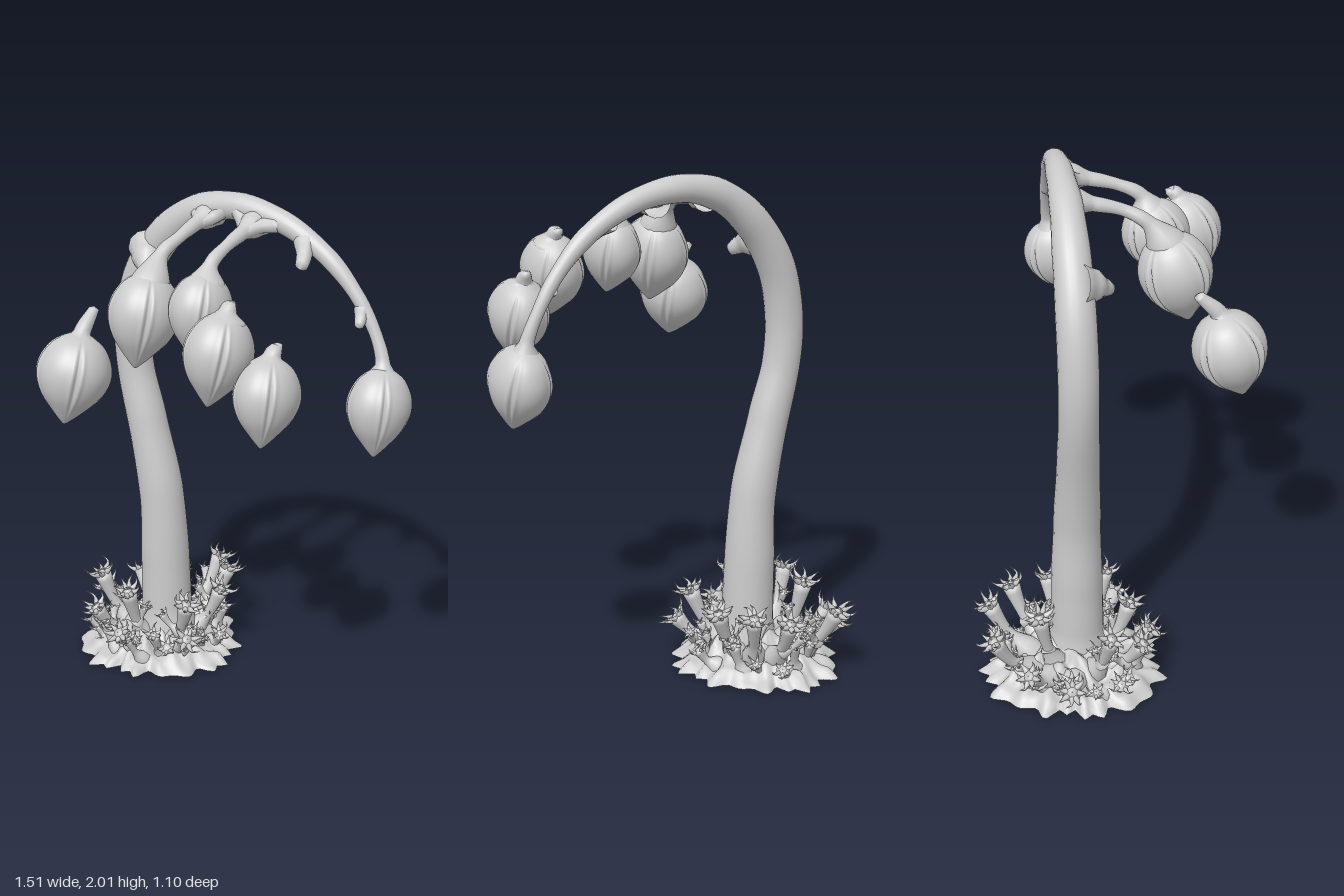
import * as THREE from 'three';
import { mergeGeometries, mergeVertices } from 'three/addons/utils/BufferGeometryUtils.js';

const V = (p) => new THREE.Vector3(...p);
const material = new THREE.MeshStandardMaterial({ color: 0xcccccc, side: THREE.DoubleSide });

// Seeded random numbers
let seed = 7;
const rand = (a = 0, b = 1) => {
  seed = (seed * 16807) % 2147483647;
  return a + (b - a) * (seed / 2147483647);
};

function mesh(name, geometry) {
  const m = new THREE.Mesh(geometry, material);
  m.name = name;
  return m;
}

// Join the seam and shade smoothly over the reshaped surface
function smooth(geometry) {
  geometry.deleteAttribute('uv');
  geometry.deleteAttribute('normal');
  const g = mergeVertices(geometry, 1e-5);
  g.computeVertexNormals();
  return g;
}

// Tube through [x, y, z, radius] knots, with the radius blended between knots
function taperedTube(knots, segments, sides) {
  const curve = new THREE.CatmullRomCurve3(knots.map((k) => V(k.slice(0, 3))));
  const g = new THREE.TubeGeometry(curve, segments, 1, sides);
  const pos = g.attributes.position, p = new THREE.Vector3();
  const last = knots.length - 1;
  for (let i = 0; i <= segments; i++) {
    const u = i / segments, c = curve.getPointAt(u);
    const t = curve.getUtoTmapping(u) * last;
    const a = Math.min(Math.floor(t), last - 1);
    const r = THREE.MathUtils.lerp(knots[a][3], knots[a + 1][3], THREE.MathUtils.smoothstep(t - a, 0, 1));
    for (let j = 0; j <= sides; j++) {
      const k = i * (sides + 1) + j;
      p.fromBufferAttribute(pos, k).sub(c).multiplyScalar(r).add(c);
      pos.setXYZ(k, p.x, p.y, p.z);
    }
  }
  return smooth(g);
}

// Seed pod: lathed drop with four lipped seams, hung from top to tip
function pod(name, top, tip, rx, rz, neck) {
  const group = new THREE.Group();
  group.name = name;
  const a = V(top), b = V(tip), length = a.distanceTo(b);
  const profile = new THREE.SplineCurve([[0, -0.01], [0.1, 0.015], [0.4, 0.13], [0.77, 0.3], [0.98, 0.5],
    [0.96, 0.69], [0.72, 0.87], [0.38, 0.965], [0.14, 1], [0, 1.01]].map((q) => new THREE.Vector2(...q)));
  const g = new THREE.LatheGeometry(profile.getPoints(30), 128);
  const pos = g.attributes.position;
  for (let i = 0; i < pos.count; i++) {
    const x = pos.getX(i), y = pos.getY(i), z = pos.getZ(i);
    const angle = Math.atan2(z, x);
    const off = Math.abs((angle + Math.PI * 2) % (Math.PI / 2) - Math.PI / 4);
    const mid = Math.sin(Math.PI * THREE.MathUtils.clamp(y, 0, 1));
    const s = 1 + mid * (0.05 * Math.exp(-((off - 0.12) ** 2) / 0.005) - 0.09 * Math.exp(-(off ** 2) / 0.003));
    pos.setXYZ(i, x * s * rx, y * length, z * s * rz);
  }
  const body = mesh('podBody', smooth(g));
  body.position.copy(b);
  body.quaternion.setFromUnitVectors(new THREE.Vector3(0, 1, 0), a.clone().sub(b).normalize());
  group.add(body);

  // Short neck on the crown
  if (neck) {
    const [x, y, z] = top;
    group.add(mesh('podNeck', taperedTube([[x, y - 0.035, z + 0.01, 0.075], [x, y + 0.005, z - 0.005, 0.032],
      [...neck, 0.02], [neck[0], neck[1] + 0.008, neck[2], 0.001]], 16, 12)));
  }
  return group;
}

// Hollow root mound: rings with a lumpy surface and a ragged rim
function mound(cx, cz) {
  const rings = 26, sides = 120, pts = [], index = [];
  for (let i = 0; i <= rings; i++) {
    for (let j = 0; j <= sides; j++) {
      const t = i / rings, a = (j % sides) / sides * Math.PI * 2;
      const rim = 0.31 + 0.02 * Math.sin(3 * a + 1) + 0.016 * Math.sin(11 * a) + 0.018 * Math.sin(23 * a + 2 * Math.sin(4 * a));
      const r = THREE.MathUtils.lerp(0.3 * t, rim * t, t);
      const x = Math.cos(a) * r, z = Math.sin(a) * r * 1.08;
      const lump = 0.035 * Math.sin(x * 42 + 2 * Math.sin(z * 17)) * Math.sin(z * 38 + 1) * Math.sin(Math.PI * t);
      pts.push(cx + x, Math.max(0, 0.17 * Math.pow(1 - t, 0.8) + lump), cz + z);
      if (i < rings && j < sides) {
        const k = i * (sides + 1) + j, n = k + sides + 1;
        index.push(k, k + 1, n, k + 1, n + 1, n);
      }
    }
  }
  const g = new THREE.BufferGeometry();
  g.setAttribute('position', new THREE.Float32BufferAttribute(pts, 3));
  g.setIndex(index);
  return smooth(g);
}

// Coral-like root: curved stalk, trumpet end and a crown of thin curling spikes
function root(list, from, to, thick, spikes) {
  const a = V(from), b = V(to), d = b.clone().sub(a), size = d.length();
  const m = a.clone().addScaledVector(d, 0.55);
  m.y -= 0.12 * size;
  const dir = b.clone().sub(m).normalize();
  const rim = b.clone().addScaledVector(dir, thick * 0.15);
  list.push(taperedTube([[...a, thick * 2.2], [...m, thick * 0.85], [...b, thick * 1.45], [...rim, 0.001]], 12, 9));
  const side = new THREE.Vector3(0.3, 1, 0.2).cross(dir).normalize();
  const up = dir.clone().cross(side);
  for (let i = 0; i < spikes; i++) {
    const w = (i + rand(-0.25, 0.25)) / spikes * Math.PI * 2;
    const out = side.clone().multiplyScalar(Math.cos(w)).addScaledVector(up, Math.sin(w));
    const turn = side.clone().multiplyScalar(-Math.sin(w)).addScaledVector(up, Math.cos(w));
    const l = thick * rand(1.2, 2.2);
    const p0 = b.clone().addScaledVector(dir, -thick * 0.4).addScaledVector(out, thick * 0.9);
    const p1 = p0.clone().addScaledVector(out, l * 0.6).addScaledVector(dir, l * 0.35);
    const p2 = p1.clone().addScaledVector(out, l * rand(0, 0.4)).addScaledVector(dir, l * 0.5)
      .addScaledVector(turn, l * rand(-0.5, 0.5));
    for (const p of [p0, p1, p2]) p.y = Math.max(p.y, 0.004);
    list.push(taperedTube([[...p0, thick * 0.5], [...p1, thick * 0.2], [...p2, 0.001]], 6, 5));
  }
}

export function createModel() {
  const model = new THREE.Group();
  model.name = 'archingPodPlant';

  // Arched stalk
  model.add(mesh('stalk', taperedTube([
    [-0.32, 0.08, -0.145, 0.12], [-0.325, 0.2, -0.145, 0.103], [-0.33, 0.4, -0.145, 0.1],
    [-0.345, 0.7, -0.142, 0.09], [-0.41, 1, -0.14, 0.08], [-0.465, 1.22, -0.14, 0.074],
    [-0.473, 1.4, -0.14, 0.074], [-0.43, 1.6, -0.143, 0.073], [-0.32, 1.78, -0.148, 0.069],
    [-0.17, 1.902, -0.155, 0.061], [0, 1.947, -0.165, 0.052], [0.2, 1.922, -0.172, 0.043],
    [0.4, 1.82, -0.18, 0.035], [0.53, 1.69, -0.187, 0.027], [0.61, 1.56, -0.19, 0.023],
    [0.645, 1.47, -0.183, 0.026], [0.651, 1.41, -0.172, 0.06]], 120, 24)));

  // Twigs that carry the two inner pods
  for (const [x, end, y, z] of [[-0.1, -0.115, 1.75, 0.2], [0.108, 0.105, 1.78, 0.155]]) {
    model.add(mesh('podTwig', taperedTube([[x, 1.91, -0.165, 0.06], [x, 1.9, -0.12, 0.05],
      [x, 1.887, -0.05, 0.028], [x, 1.86, 0.05, 0.023], [end, 1.82, 0.13, 0.027], [end, y - 0.035, z + 0.01, 0.075]], 36, 14)));
    // Webbing that spreads the twig along the stalk
    for (const s of [-1, 1]) {
      const slope = s * (x > 0 ? -0.018 : 0.02);
      model.add(mesh('twigWeb', taperedTube([[x + s * 0.09, 1.93 + slope, -0.15, 0.03],
        [x + s * 0.035, 1.905, -0.115, 0.028], [x, 1.885, -0.05, 0.022]], 12, 10)));
    }
  }

  // Bare stubs along the stalk
  const stubs = [
    ['lowerStub', [-0.385, 1.72, -0.14, 0.085], [-0.355, 1.7, -0.085, 0.062], [-0.325, 1.675, -0.04, 0.034],
      [-0.305, 1.655, -0.015, 0.024], [-0.3, 1.65, -0.008, 0.001]],
    ['upperStub', [0.31, 1.865, -0.17, 0.045], [0.333, 1.82, -0.125, 0.028], [0.343, 1.797, -0.095, 0.024], [0.346, 1.788, -0.08, 0.001]],
    ['outerStub', [0.55, 1.65, -0.185, 0.03], [0.56, 1.62, -0.16, 0.022], [0.565, 1.602, -0.14, 0.017], [0.566, 1.597, -0.132, 0.001]],
  ];
  for (const [name, ...knots] of stubs) model.add(mesh(name, taperedTube(knots, 16, 12)));

  // Pods: top, tip, half widths, neck end
  const pods = [
    [[-0.305, 1.54, 0.375], [-0.322, 1.21, 0.47], 0.133, 0.138, [-0.305, 1.615, 0.3]],
    [[-0.115, 1.765, 0.2], [-0.125, 1.42, 0.29], 0.124, 0.137],
    [[0.103, 1.795, 0.155], [0.097, 1.49, 0.235], 0.105, 0.127],
    [[0.29, 1.72, 0.29], [0.27, 1.39, 0.38], 0.116, 0.134, [0.285, 1.745, 0.26]],
    [[0.447, 1.575, 0.24], [0.462, 1.26, 0.325], 0.109, 0.134, [0.45, 1.61, 0.21]],
    [[0.652, 1.45, -0.18], [0.67, 1.13, -0.1], 0.109, 0.133],
  ];
  pods.forEach((p, i) => model.add(pod('pod' + (i + 1), ...p)));

  // Root mound
  const cx = -0.36, cz = -0.16;
  model.add(mesh('rootMound', mound(cx, cz)));

  // Large roots at set places, each with a side shoot
  const roots = [];
  const tips = [[-0.53, 0.29, -0.48], [-0.3, 0.29, -0.49], [-0.19, 0.3, -0.4], [-0.69, 0.15, -0.19],
    [-0.58, 0.31, -0.03], [-0.49, 0.36, -0.3], [-0.37, 0.32, 0.06], [-0.13, 0.3, -0.02],
    [-0.09, 0.17, 0.03], [-0.62, 0.18, -0.35], [-0.35, 0.17, 0.15], [-0.51, 0.22, 0.1], [-0.12, 0.28, -0.25]];
  for (const t of tips) {
    const along = (k) => [cx + (t[0] - cx) * k, cz + (t[2] - cz) * k];
    const [x, z] = along(0.5), [mx, mz] = along(0.75);
    root(roots, [x, 0.06, z], t, 0.026, 8);
    root(roots, [mx, t[1] * 0.45, mz], [mx + rand(-0.08, 0.08), t[1] * 0.62 + 0.03, mz + rand(-0.08, 0.08)], 0.014, 5);
  }
  // Small roots scattered around
  for (let i = 0; i < 22; i++) {
    const a = i * 2.4, r = rand(0.17, 0.25), q = r + rand(0.02, 0.07);
    root(roots, [cx + Math.cos(a) * r, 0.03, cz + Math.sin(a) * r],
      [cx + Math.cos(a + 0.15) * q, rand(0.08, 0.17), cz + Math.sin(a + 0.15) * q], rand(0.015, 0.021), 6);
  }
  model.add(mesh('roots', mergeGeometries(roots)));
  return model;
}
